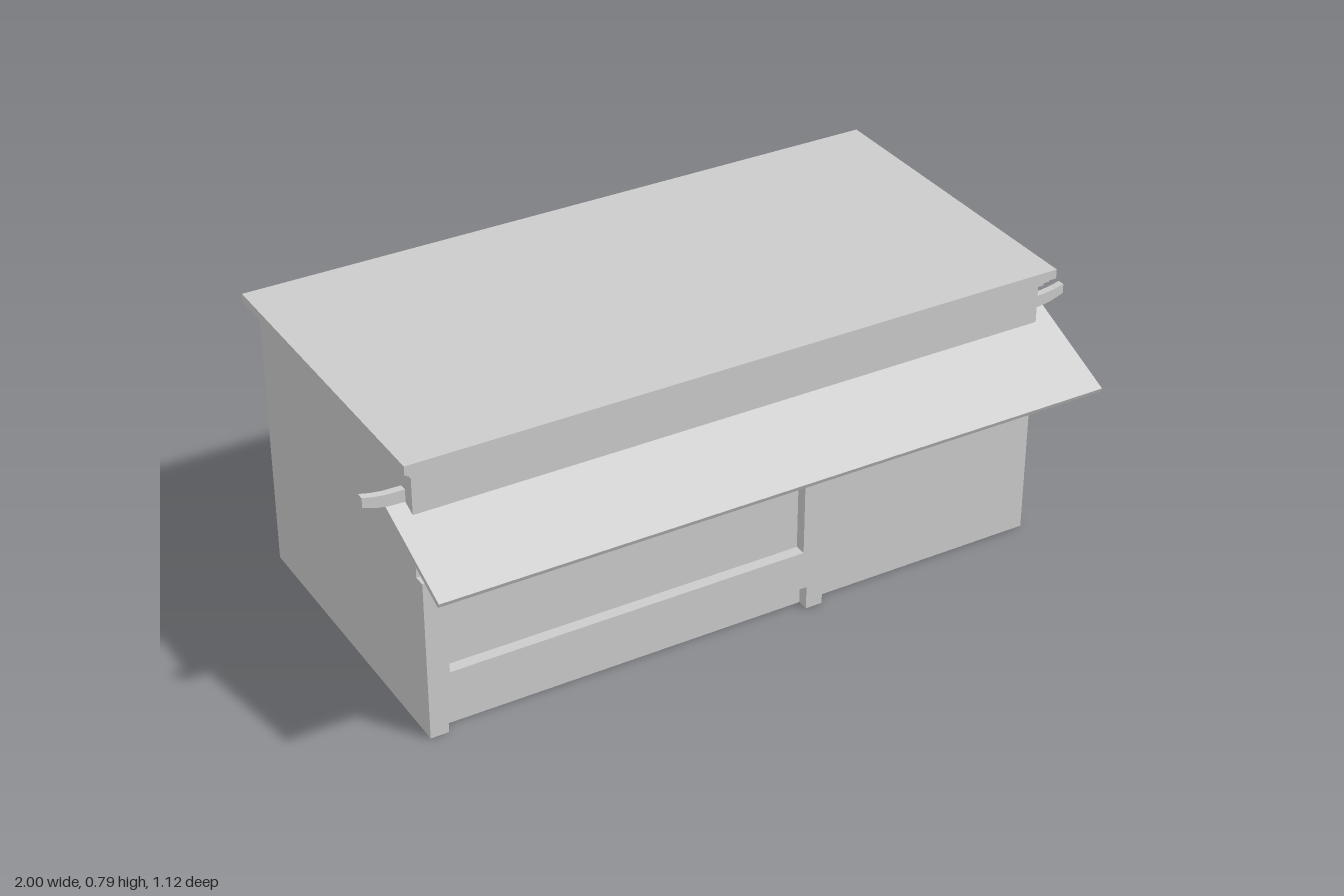
import * as THREE from 'three';

const material = new THREE.MeshStandardMaterial({ color: 0xcccccc, flatShading: true });

function shapeOf(points) {
  return new THREE.Shape(points.map(([x, y]) => new THREE.Vector2(x, y)));
}

function extrude(shape, depth) {
  return new THREE.ExtrudeGeometry(shape, { depth, bevelEnabled: false });
}

export function createModel() {
  const model = new THREE.Group();
  model.name = 'marketStall';

  function add(name, geometry) {
    const mesh = new THREE.Mesh(geometry, material);
    mesh.name = name;
    model.add(mesh);
    return mesh;
  }

  function box(name, halfWidth, y0, y1, z0, z1) {
    const mesh = add(name, new THREE.BoxGeometry(2 * halfWidth, y1 - y0, z1 - z0));
    mesh.position.set(0, (y0 + y1) / 2, (z0 + z1) / 2);
  }

  // Main block
  box('body', 0.89, 0, 0.742, -0.53, 0.335);

  // Stepped cornice under a flat roof slab
  box('lowerCornice', 0.898, 0.742, 0.755, -0.539, 0.345);
  box('upperCornice', 0.908, 0.755, 0.767, -0.549, 0.355);
  box('roofSlab', 0.92, 0.767, 0.793, -0.56, 0.367);

  // Front panel frame on two feet, with a window opening
  const frame = shapeOf([
    [-0.89, 0], [-0.84, 0], [-0.84, 0.067], [0.187, 0.067], [0.187, 0],
    [0.235, 0], [0.235, 0.455], [-0.89, 0.455],
  ]);
  frame.holes.push(shapeOf([[-0.83, 0.177], [-0.83, 0.445], [0.175, 0.445], [0.175, 0.177]]));
  add('frontPanel', extrude(frame, 0.032)).position.z = 0.335;

  // Sloping awning with a short back flap, profile drawn in (-z, y)
  const awning = extrude(shapeOf([
    [-0.562, 0.535], [-0.556, 0.522], [-0.29, 0.635],
    [-0.24, 0.602], [-0.232, 0.615], [-0.29, 0.651],
  ]), 1.88);
  awning.rotateY(Math.PI / 2).translate(-0.94, 0, 0);
  add('awning', awning);

  // Ridge beam whose ends sweep upward on both sides
  const end = [
    [0.89, 0.649], [0.93, 0.65], [0.96, 0.655], [1, 0.668],
    [1, 0.695], [0.97, 0.688], [0.94, 0.684], [0.89, 0.683],
  ];
  const mirrored = end.map(([x, y]) => [-x, y]).reverse();
  add('ridgeBeam', extrude(shapeOf([...end, ...mirrored]), 0.02)).position.z = 0.279;

  return model;
}
